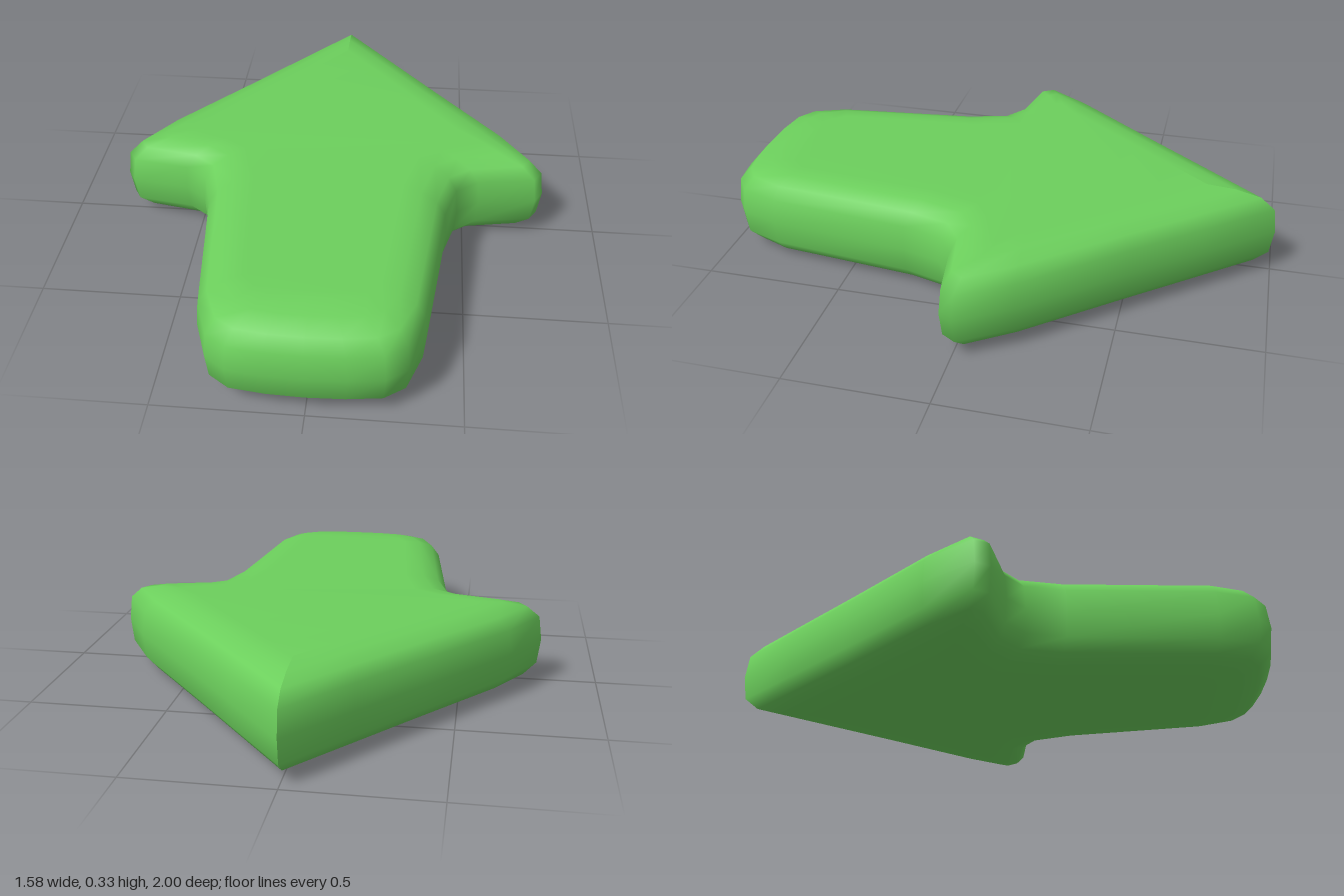
import * as THREE from 'three';

// Right half of the arrow, from the tip round to the tail: [x, z] on the rim
const RIM = [[0, -1], [0.2, -0.76], [0.4, -0.52], [0.68, -0.19], [0.79, -0.01], [0.76, 0.04], [0.55, 0.07],
  [0.47, 0.13], [0.43, 0.27], [0.37, 0.79], [0.32, 0.93], [0.25, 0.98], [0.13, 0.995], [0, 1]];
// Matching points where the rounded edge meets the flat faces
const FACE = [[0, -0.74], [0.14, -0.57], [0.27, -0.41], [0.46, -0.18], [0.55, -0.1], [0.53, -0.08], [0.4, -0.03],
  [0.32, 0.02], [0.27, 0.2], [0.22, 0.72], [0.18, 0.77], [0.13, 0.79], [0.07, 0.8], [0, 0.8]];
// Edge rounding: [blend from rim to face, height above the middle]
const ROUND = [[0, 0], [0.05, 0.09], [0.25, 0.133], [0.6, 0.155], [1, 0.163]];
const MID = 0.163;

const mirrored = (half) => [...half, ...half.slice(0, -1).reverse().map(([x, z]) => [-x, z])];

function arrowGeometry() {
  const rim = mirrored(RIM), face = mirrored(FACE);
  const levels = [...ROUND.slice(1).reverse().map(([t, y]) => [t, -y]), ...ROUND];
  const n = rim.length; // the tip is doubled, which keeps its edge sharp
  const positions = [], index = [];

  // Stacked outlines from the bottom face to the top face
  for (const [t, y] of levels) {
    rim.forEach(([x, z], i) => {
      positions.push(THREE.MathUtils.lerp(x, face[i][0], t), MID + y, THREE.MathUtils.lerp(z, face[i][1], t));
    });
  }
  for (let l = 0; l < levels.length - 1; l++) {
    for (let i = 0; i < n - 1; i++) {
      const a = l * n + i, b = a + 1, c = a + n, d = c + 1;
      index.push(a, c, b, b, c, d);
    }
  }

  // Flat faces, as strips from left to right
  const top = (levels.length - 1) * n;
  for (let i = 0; i < RIM.length - 1; i++) {
    const r0 = i, r1 = i + 1, l0 = n - 1 - i, l1 = n - 2 - i;
    for (const [a, b, c] of [[l0, l1, r0], [l1, r1, r0]]) {
      if (a === b || b === c || a === c) continue;
      index.push(top + a, top + b, top + c, a, c, b);
    }
  }

  const geometry = new THREE.BufferGeometry();
  geometry.setAttribute('position', new THREE.Float32BufferAttribute(positions, 3));
  geometry.setIndex(index);
  geometry.computeVertexNormals();
  return geometry;
}

export function createModel() {
  const group = new THREE.Group();
  group.name = 'arrow';
  const body = new THREE.Mesh(arrowGeometry(), new THREE.MeshStandardMaterial({ color: 0x6ccf5c }));
  body.name = 'arrowBody';
  group.add(body);
  return group;
}
